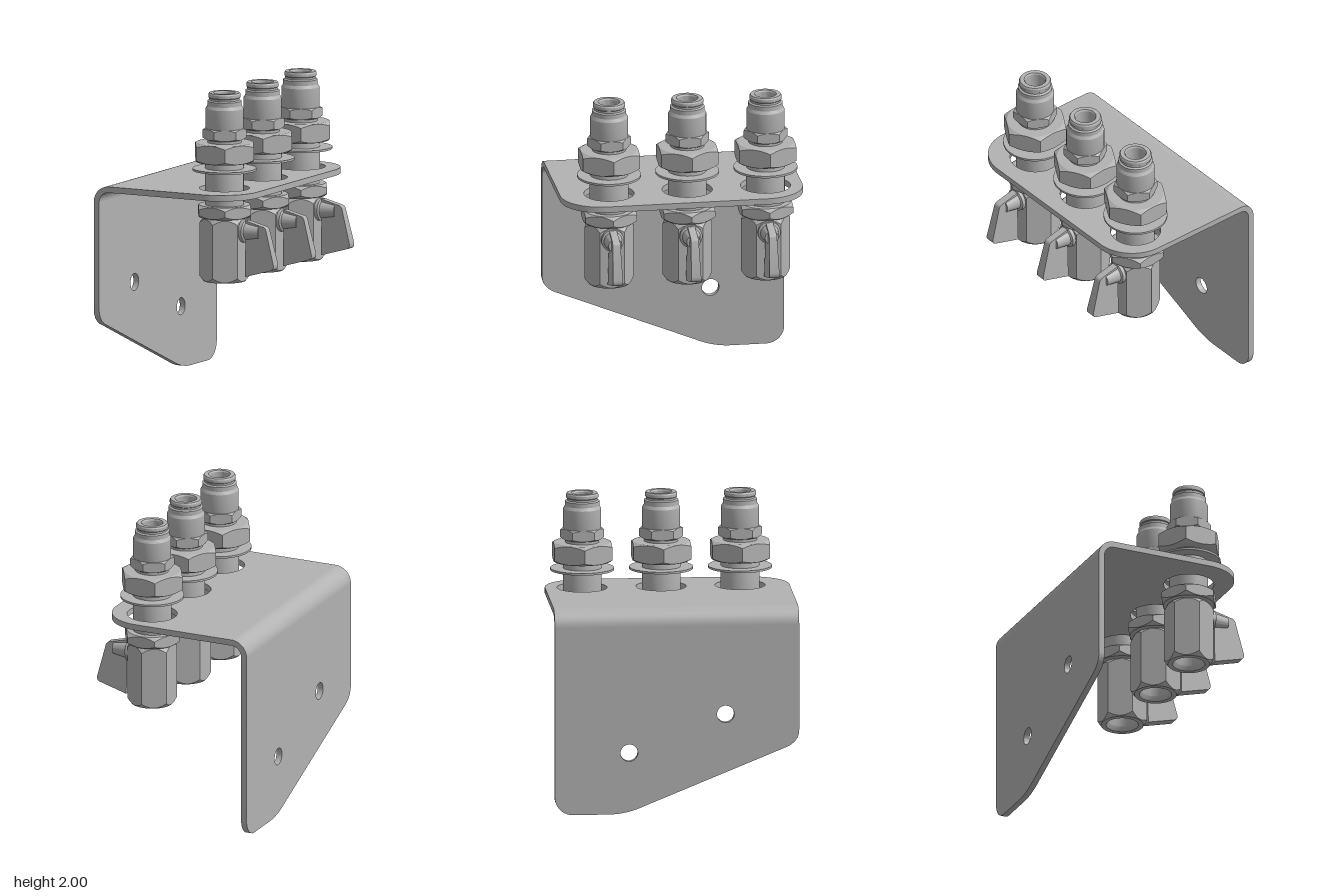
import * as THREE from 'three';
import { toCreasedNormals } from 'three/addons/utils/BufferGeometryUtils.js';

const metal = new THREE.MeshStandardMaterial({ color: 0xb2b2b2 });
metal.name = 'grey metal';

function part(name, geometry, crease = 0.5) {
  const mesh = new THREE.Mesh(toCreasedNormals(geometry, crease), metal);
  mesh.name = name;
  return mesh;
}

const extrude = (shape, depth) =>
  new THREE.ExtrudeGeometry(shape, { depth, bevelEnabled: false, curveSegments: 20 });

function addHole(shape, x, y, r) {
  const hole = new THREE.Path();
  hole.absarc(x, y, r, 0, Math.PI * 2, true);
  shape.holes.push(hole);
}

// Ring with a hexagonal outside, its ends turned to a conical chamfer.
// corner: angle of one corner, slope: chamfer height per unit of radius.
function hexRing(apothem, y0, y1, inner, corner, slope) {
  const n = 72, pos = [], index = [], end = apothem * 0.975;
  for (let i = 0; i <= n; i++) {
    const t = (i / n) * Math.PI * 2;
    const r = apothem / Math.cos((t % (Math.PI / 3)) - Math.PI / 6);
    const c = (r - end) * slope;
    const rows = [[inner, y0], [end, y0], [r, y0 + c], [r, y1 - c], [end, y1], [inner, y1]];
    for (const [q, y] of rows) pos.push(q * Math.cos(t + corner), y, q * Math.sin(t + corner));
    if (i === n) break;
    for (let k = 0; k < 5; k++) {
      const a = i * 6 + k, c2 = a + 6;
      index.push(a, a + 1, c2, c2, a + 1, c2 + 1);
    }
  }
  const g = new THREE.BufferGeometry();
  g.setAttribute('position', new THREE.Float32BufferAttribute(pos, 3));
  g.setIndex(index);
  return g;
}

const lathe = (points) =>
  new THREE.LatheGeometry(points.map(([r, y]) => new THREE.Vector2(r, y)), 48);

const fittingX = 0.205;
const fittingZ = [0.48, -0.04, -0.56];

function makeBracket() {
  const bracket = new THREE.Group();
  bracket.name = 'bracket';

  // Upright plate, drawn with local x = -z
  const w = 0.805;
  const back = new THREE.Shape();
  back.moveTo(-w, 1.255);
  back.lineTo(-w, 0.55);
  back.bezierCurveTo(-w, 0.49, -0.77, 0.45, -0.70, 0.425);
  back.lineTo(0.21, 0.055);
  back.quadraticCurveTo(0.33, 0, 0.45, 0);
  back.lineTo(w - 0.12, 0);
  back.absarc(w - 0.12, 0.12, 0.12, -Math.PI / 2, 0, false);
  back.lineTo(w, 1.255);
  addHole(back, -0.32, 0.66, 0.057);
  addHole(back, 0.315, 0.41, 0.057);
  bracket.add(part('uprightPlate',
    extrude(back, 0.04).rotateY(Math.PI / 2).translate(-0.595, 0, 0)));

  // Shelf plate, drawn with local y = -z
  const r = 0.27, xe = 0.48;
  const shelf = new THREE.Shape();
  shelf.moveTo(-0.485, -w);
  shelf.lineTo(xe - r, -w);
  shelf.absarc(xe - r, -w + r, r, -Math.PI / 2, 0, false);
  shelf.absarc(xe - r, w - r, r, 0, Math.PI / 2, false);
  shelf.lineTo(-0.485, w);
  for (const z of fittingZ) addHole(shelf, fittingX, -z, 0.165);
  bracket.add(part('shelfPlate',
    extrude(shelf, 0.04).rotateX(-Math.PI / 2).translate(0, 1.325, 0)));

  // Rounded bend joining the plates
  const bend = new THREE.Shape();
  bend.absarc(-0.485, 1.255, 0.11, Math.PI / 2, Math.PI, false);
  bend.absarc(-0.485, 1.255, 0.07, Math.PI, Math.PI / 2, true);
  bracket.add(part('bend', extrude(bend, 2 * w).translate(0, 0, -w)));
  return bracket;
}

function makeHandle() {
  const handle = new THREE.Group();
  handle.name = 'valveHandle';

  // Stem: collar and tapered boss pointing along +x
  const stem = lathe([[0.075, 0.12], [0.075, 0.165], [0.06, 0.172], [0.058, 0.18],
    [0.045, 0.27], [0, 0.27]]);
  handle.add(part('stem', stem.rotateZ(-Math.PI / 2).translate(0, 1.09, 0)));

  // Blade, thicker toward its lower end
  const s = new THREE.Shape();
  s.moveTo(0.172, 0.79);
  s.lineTo(0.365, 0.845);
  s.quadraticCurveTo(0.388, 0.852, 0.383, 0.885);
  s.lineTo(0.325, 1.105);
  s.quadraticCurveTo(0.32, 1.125, 0.3, 1.13);
  s.lineTo(0.172, 1.162);
  const blade = extrude(s, 1).translate(0, 0, -0.5);
  const p = blade.attributes.position;
  for (let i = 0; i < p.count; i++) {
    const thickness = 0.072 - 0.065 * (p.getY(i) - 0.79);
    p.setZ(i, p.getZ(i) * thickness);
  }
  handle.add(part('blade', blade));
  return handle;
}

function makeFitting() {
  const fitting = new THREE.Group();
  fitting.name = 'valveFitting';

  // Turned tube with stepped bore all the way through
  fitting.add(part('tube', lathe([
    [0.115, 0.755], [0.12, 1.15], [0.127, 1.25], [0.127, 1.6], [0.112, 1.66], [0.112, 1.7],
    [0.125, 1.75], [0.125, 1.895], [0.113, 1.915], [0.113, 1.945], [0.1, 1.952],
    [0.1, 1.965], [0.106, 1.97], [0.106, 1.99], [0.1, 2], [0.072, 2], [0.066, 1.99],
    [0.066, 1.88], [0.044, 1.87], [0.044, 1.0], [0.09, 0.95], [0.09, 0.78], [0.106, 0.75],
  ])));

  const flatX = Math.PI / 6;
  fitting.add(part('valveBody', hexRing(0.142, 0.75, 1.17, 0.106, flatX, 1.3)));
  fitting.add(part('lowerNut', hexRing(0.171, 1.175, 1.257, 0.1, 0, 0.75)));
  fitting.add(part('clampNut', hexRing(0.19, 1.542, 1.67, 0.1, 0, 0.6)));
  fitting.add(part('upperHex', hexRing(0.126, 1.69, 1.765, 0.1, flatX, 0.6)));

  // Thin loose washer
  fitting.add(part('washer', lathe([[0.127, 1.484], [0.21, 1.484], [0.21, 1.498], [0.127, 1.498]])));

  fitting.add(makeHandle());
  return fitting;
}

export function createModel() {
  const model = new THREE.Group();
  model.name = 'valveBracket';
  model.add(makeBracket());
  for (const z of fittingZ) {
    const fitting = makeFitting();
    fitting.position.set(fittingX, 0, z);
    model.add(fitting);
  }
  return model;
}
